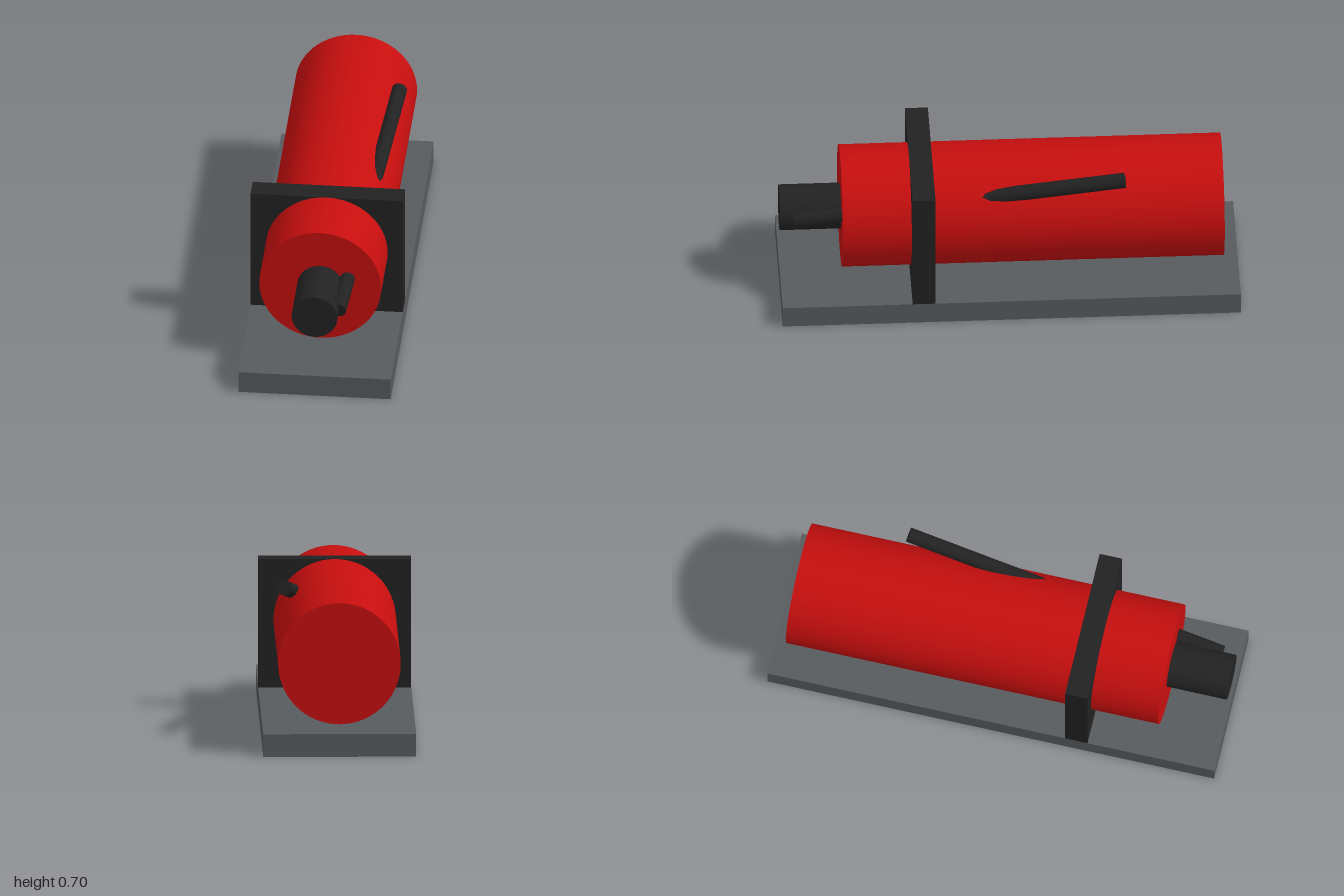
import * as THREE from 'three';

const grey = new THREE.MeshStandardMaterial({ color: 0x575b5e });
grey.name = 'slate grey';
const black = new THREE.MeshStandardMaterial({ color: 0x222222 });
black.name = 'soft black';
const red = new THREE.MeshStandardMaterial({ color: 0xc60e0e });
red.name = 'bright red';

function add(group, name, geometry, material, x, y, z) {
  const mesh = new THREE.Mesh(geometry, material);
  mesh.name = name;
  mesh.position.set(x, y, z);
  group.add(mesh);
  return mesh;
}

// Capped cylinder running between two points
function rod(group, name, from, to, radius, sides, material) {
  const axis = to.clone().sub(from);
  const mid = from.clone().add(to).multiplyScalar(0.5);
  const geometry = new THREE.CylinderGeometry(radius, radius, axis.length(), sides);
  const mesh = add(group, name, geometry, material, mid.x, mid.y, mid.z);
  mesh.quaternion.setFromUnitVectors(new THREE.Vector3(0, 1, 0), axis.normalize());
  return mesh;
}

export function createModel() {
  const model = new THREE.Group();
  model.name = 'mountedCylinder';
  const v = (x, y, z) => new THREE.Vector3(x, y, z);

  // Base slab and the upright plate that carries the body
  add(model, 'base', new THREE.BoxGeometry(0.667, 0.1, 2), grey, 0, 0.05, 0);
  add(model, 'mountPlate', new THREE.BoxGeometry(0.667, 0.567, 0.1), black, 0, 0.3835, 0.383);

  // Main body and front shaft
  rod(model, 'body', v(0, 0.4, -0.933), v(0, 0.4, 0.733), 0.267, 64, red);
  rod(model, 'shaft', v(0, 0.4, 0.6), v(0, 0.4, 1), 0.1, 48, black);

  // Slanted rod passing through the body, showing at both ends
  rod(model, 'slantedRod', v(0.232, 0.668, -0.498), v(0.1, 0.403, 0.937), 0.0335, 12, black);

  return model;
}
